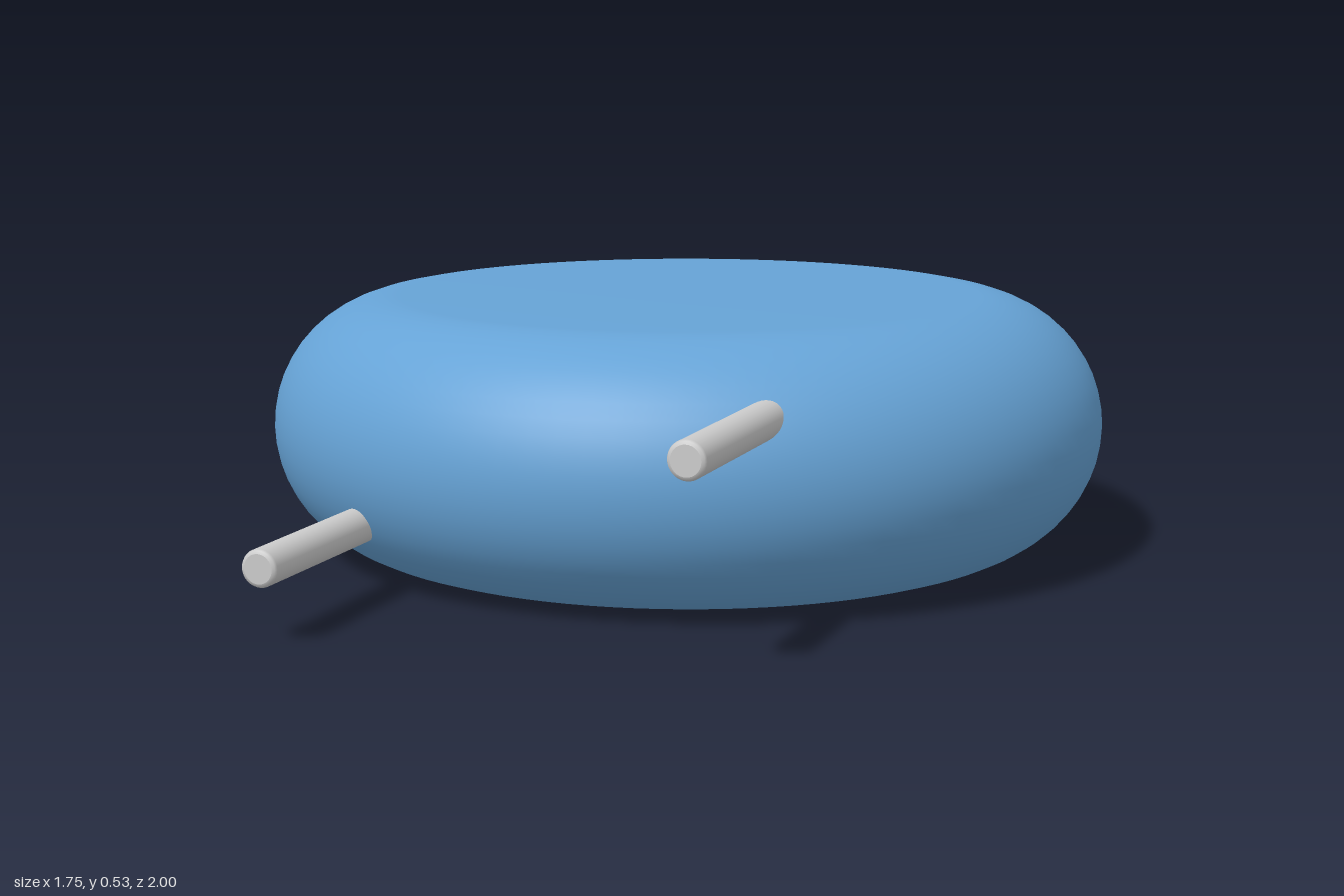
import * as THREE from 'three';

const RADIUS = 0.873;   // outer radius of the disc
const ROUND = 0.265;    // rim rounding, half of the thickness
const CENTRE_Z = -0.127;

// Flat disc with a fully rounded rim
function makeBody() {
  const flat = RADIUS - ROUND;
  const profile = [new THREE.Vector2(0, 0)];
  const steps = 24;
  for (let i = 0; i <= steps; i++) {
    const a = -Math.PI / 2 + (Math.PI * i) / steps;
    profile.push(new THREE.Vector2(flat + ROUND * Math.cos(a), ROUND + ROUND * Math.sin(a)));
  }
  profile.push(new THREE.Vector2(0, ROUND * 2));
  const body = new THREE.Mesh(
    new THREE.LatheGeometry(profile, 96),
    new THREE.MeshStandardMaterial({ color: 0x66a3d6 })
  );
  body.name = 'discBody';
  body.position.z = CENTRE_Z;
  return body;
}

// Round wire with a slightly softened tip, running forward out of the disc
function makeLead(name, x, y, material) {
  const r = 0.036, back = 0.3, front = 1, soft = 0.008;
  const length = front - back;
  const profile = [
    [0, 0], [r, 0], [r, 0], [r, length - soft],
    [r - soft * 0.3, length - soft * 0.3],
    [r - soft, length], [r - soft, length], [0, length],
  ].map(([px, py]) => new THREE.Vector2(px, py));
  const lead = new THREE.Mesh(new THREE.LatheGeometry(profile, 32), material);
  lead.name = name;
  lead.rotation.x = Math.PI / 2;
  lead.position.set(x, y, back);
  return lead;
}

export function createModel() {
  const group = new THREE.Group();
  group.name = 'discComponent';
  const metal = new THREE.MeshStandardMaterial({ color: 0xcccccc });
  group.add(
    makeBody(),
    makeLead('leftLead', 0.407, 0.396, metal),
    makeLead('rightLead', -0.409, 0.143, metal)
  );
  return group;
}
